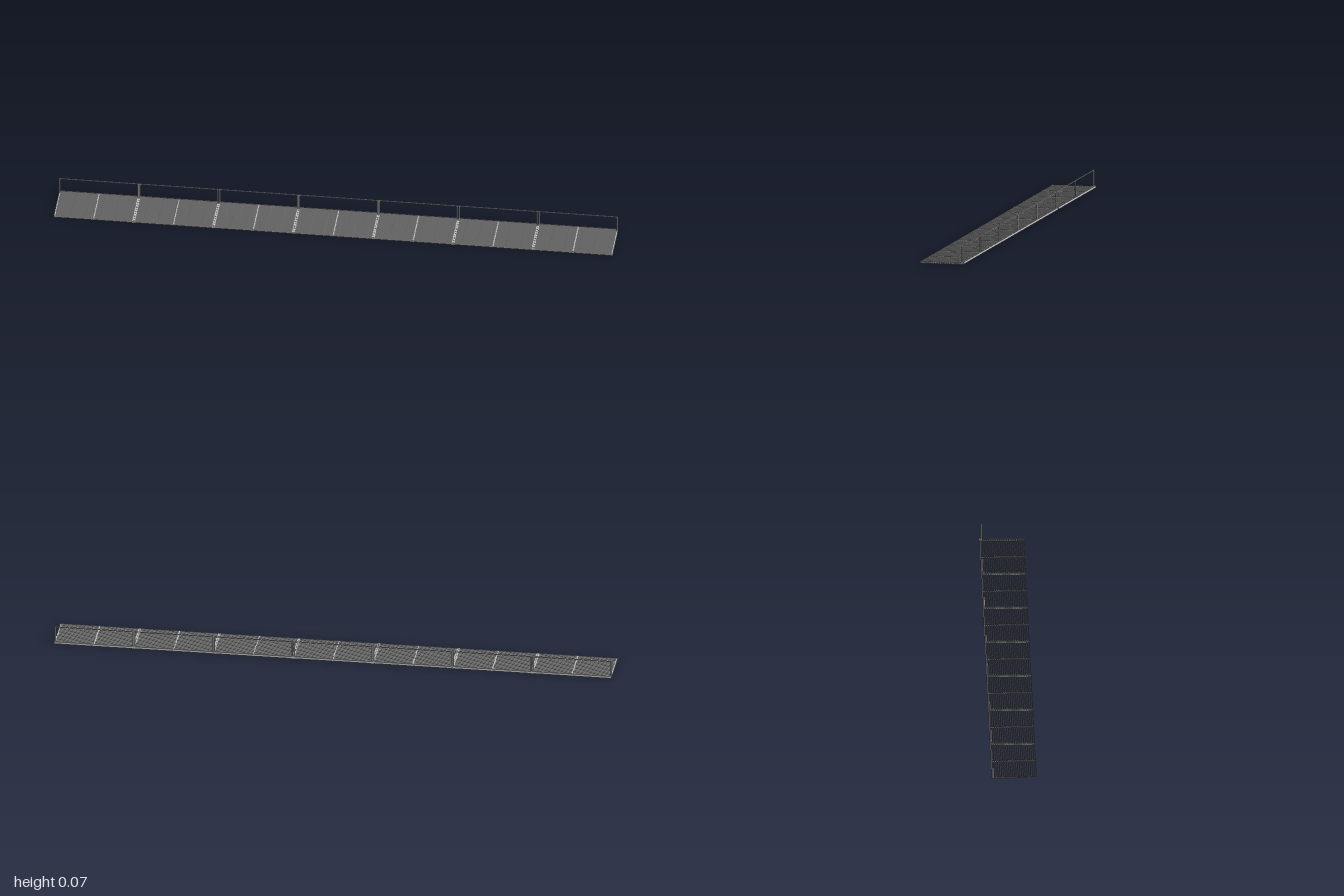
import * as THREE from 'three';

const material = new THREE.MeshStandardMaterial({ color: 0xcccccc, flatShading: true });

function add(parent, name, geometry, x, y, z) {
  const mesh = new THREE.Mesh(geometry, material);
  mesh.name = name;
  mesh.position.set(x, y, z);
  parent.add(mesh);
  return mesh;
}

const box = (parent, name, w, h, d, x, y, z) =>
  add(parent, name, new THREE.BoxGeometry(w, h, d), x, y, z);
const tube = (parent, name, r, length, x, y, z) =>
  add(parent, name, new THREE.CylinderGeometry(r, r, length, 8), x, y, z);

const BAYS = 7;
const BAY = 2 / BAYS;
const LEN = BAY - 0.0006; // small joint between neighbouring bays
const BARS = 25;

// One walkway section: open grating, toe board and handrail
function createBay() {
  const bay = new THREE.Group();

  // Long grating bars
  const deck = new THREE.Group();
  deck.name = 'deckGrating';
  bay.add(deck);
  for (let i = 0; i < BARS; i++) {
    const z = -0.0763 + (i / (BARS - 1)) * 0.1547;
    box(deck, 'gratingBar', LEN, 0.0046, 0.0032, 0, 0.0033, z);
  }

  // Cross straps at the ends and the middle, above and below the bars
  for (const x of [-LEN / 2 + 0.0025, 0, LEN / 2 - 0.0025]) {
    for (const y of [0.0006, 0.0059]) {
      box(deck, 'crossStrap', 0.005, 0.0012, 0.159, x, y, 0.0005);
    }
  }

  // Toe board along the back edge
  box(bay, 'toeBoard', LEN, 0.008, 0.0022, 0, 0.0054, -0.0789);

  // Handrail frame with short brackets back to the toe board
  for (const s of [-1, 1]) {
    const x = s * (LEN / 2 - 0.0027);
    tube(bay, 'railPost', 0.0027, 0.061, x, 0.0345, -0.0728);
    box(bay, 'postBracket', 0.0045, 0.006, 0.003, x, 0.0056, -0.0765);
  }
  tube(bay, 'topRail', 0.002, LEN, 0, 0.0645, -0.0728).rotation.z = Math.PI / 2;
  return bay;
}

export function createModel() {
  const model = new THREE.Group();
  model.name = 'walkway';
  for (let i = 0; i < BAYS; i++) {
    const bay = createBay();
    bay.name = 'walkwayBay';
    bay.position.x = (i - (BAYS - 1) / 2) * BAY;
    model.add(bay);
  }
  return model;
}
